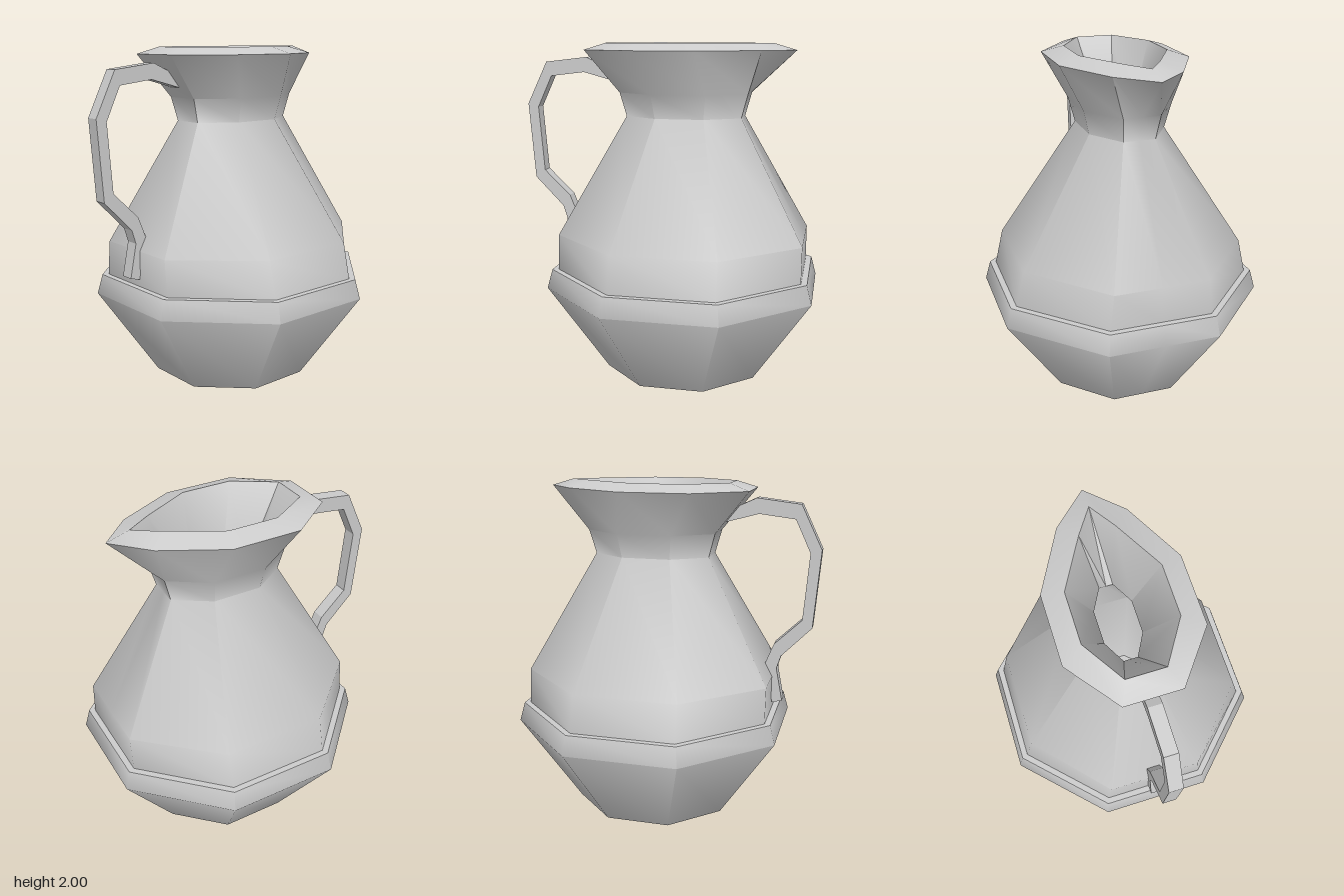
import * as THREE from 'three';
import { toCreasedNormals } from 'three/addons/utils/BufferGeometryUtils.js';

const MID_Z = -0.095;

// Mirror a half outline (back tip first, then down the +x side) into a closed ring
function mirrorRing(y, half) {
  const left = half.slice(1).reverse().map(([x, z]) => [-x, z]);
  return [...half, ...left].map(([x, z]) => [x, y, z]);
}

// Eight-sided ring with an extra point in the middle of its back edge
function octagon(y, hx, hz) {
  const k = 0.415, f = MID_Z + hz, b = MID_Z - hz;
  return mirrorRing(y, [[0, b], [hx * k, b], [hx, MID_Z - hz * k], [hx, MID_Z + hz * k], [hx * k, f]]);
}

// Skin a list of rings with quads
function loft(rings, crease) {
  const pos = [];
  const tri = (a, b, c) => {
    const u = new THREE.Vector3(...b).sub(new THREE.Vector3(...a));
    const v = new THREE.Vector3(...c).sub(new THREE.Vector3(...a));
    if (u.cross(v).length() > 1e-7) pos.push(...a, ...b, ...c);
  };
  for (let r = 0; r < rings.length - 1; r++) {
    const lo = rings[r], up = rings[r + 1], n = lo.length;
    for (let i = 0; i < n; i++) {
      const j = (i + 1) % n;
      tri(lo[i], up[i], up[j]);
      tri(lo[i], up[j], lo[j]);
    }
  }
  const geo = new THREE.BufferGeometry();
  geo.setAttribute('position', new THREE.Float32BufferAttribute(pos, 3));
  return toCreasedNormals(geo, crease);
}

export function createModel() {
  const group = new THREE.Group();
  group.name = 'jug';
  const clay = new THREE.MeshStandardMaterial({ color: 0xcccccc });
  clay.name = 'pale grey clay';

  // Outside from base to neck, pointed spout rim, then the hollow inside
  const lip = mirrorRing(1.96, [[0, -0.745], [0.195, -0.56], [0.38, -0.21], [0.38, 0.2], [0.16, 0.49]]);
  const innerLip = mirrorRing(2, [[0, -0.61], [0.1, -0.46], [0.26, -0.17], [0.26, 0.13], [0.11, 0.37]]);
  const throat = mirrorRing(1.6, [[0, -0.33], [0.04, -0.33], [0.11, -0.2], [0.11, 0], [0.04, 0.13]]);
  const rings = [
    octagon(0, 0, 0),
    octagon(0, 0.44, 0.455),
    octagon(0.535, 0.78, 0.795),
    octagon(0.65, 0.75, 0.765),
    octagon(0.65, 0.715, 0.73),
    octagon(0.86, 0.665, 0.73),
    octagon(1.57, 0.225, 0.345),
    octagon(1.71, 0.26, 0.383),
    lip,
    innerLip,
    throat,
    octagon(0.8, 0.5, 0.5),
    octagon(0.15, 0.35, 0.35),
    octagon(0.15, 0, 0),
  ];
  const body = new THREE.Mesh(loft(rings, THREE.MathUtils.degToRad(50)), clay);
  body.name = 'body';
  group.add(body);

  // Flat bent handle: side outline in (z, y), foot up the outside and back down the inside
  const outline = [
    [0.70, 0.71], [0.66, 0.91], [0.685, 0.99], [0.86, 1.17], [0.895, 1.63], [0.77, 1.885],
    [0.515, 1.915], [0.33, 1.83], [0.31, 1.765],
    [0.53, 1.825], [0.74, 1.80], [0.83, 1.61], [0.80, 1.215], [0.64, 1.06], [0.59, 0.935], [0.64, 0.695],
  ];
  const shape = new THREE.Shape(outline.map(([z, y]) => new THREE.Vector2(z, y)));
  const handleGeo = new THREE.ExtrudeGeometry(shape, { depth: 0.08, bevelEnabled: false });
  handleGeo.translate(0, 0, -0.04).rotateY(-Math.PI / 2);
  const handle = new THREE.Mesh(handleGeo, clay);
  handle.name = 'handle';
  group.add(handle);

  return group;
}
